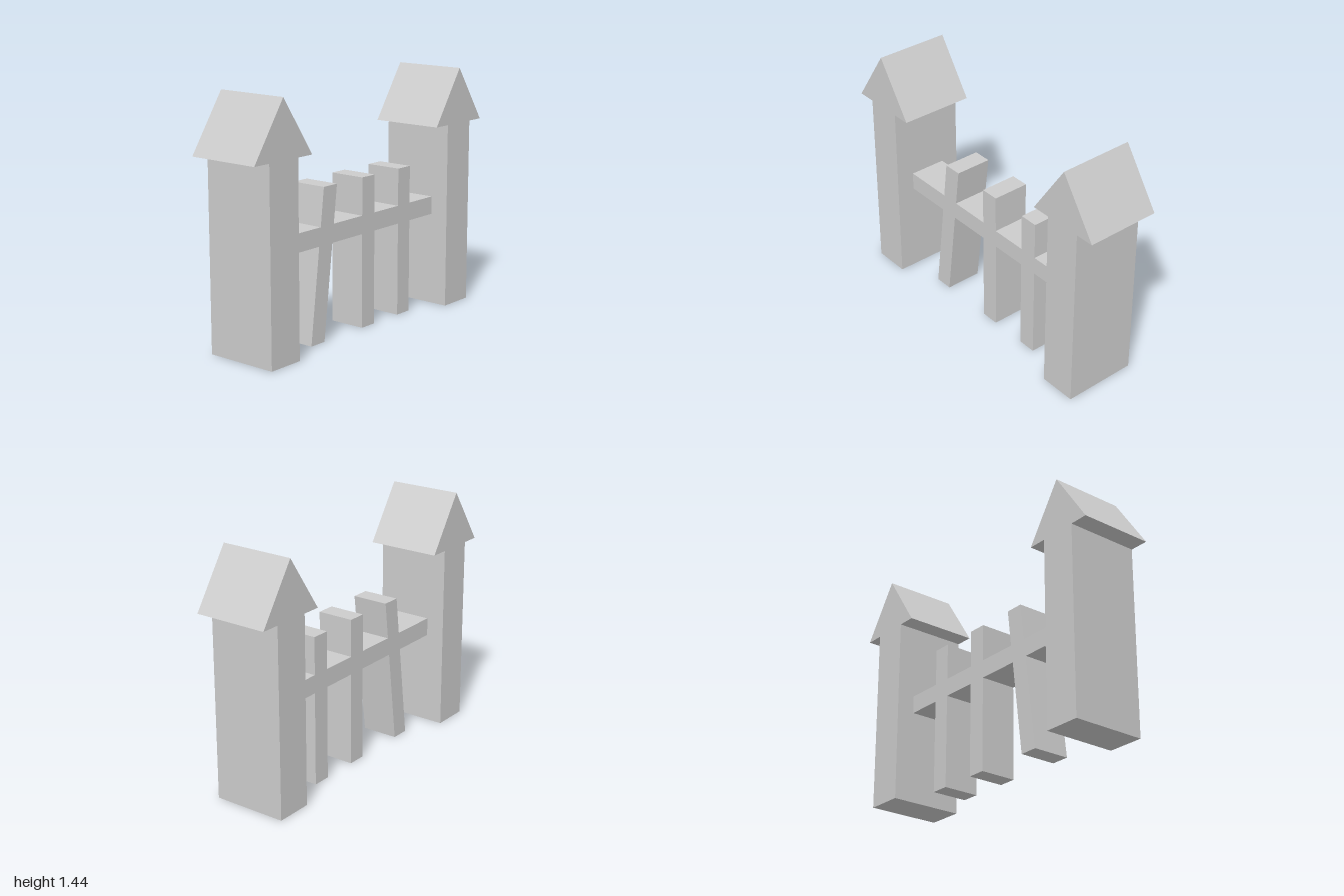
import * as THREE from 'three';

const U = 1 / 9; // design module
const material = new THREE.MeshStandardMaterial({ color: 0xcccccc, flatShading: true });

// Extrude a front outline (in modules) to a depth centred on z = 0
function slab(name, points, depth) {
  const shape = new THREE.Shape(points.map(([x, y]) => new THREE.Vector2(x * U, y * U)));
  const geometry = new THREE.ExtrudeGeometry(shape, { depth: depth * U, bevelEnabled: false });
  geometry.translate(0, 0, -depth * U / 2);
  const mesh = new THREE.Mesh(geometry, material);
  mesh.name = name;
  return mesh;
}

// One-module-wide picket; lean shifts its top sideways
const picket = (name, x, lean = 0) =>
  slab(name, [[x, 0], [x + 1, 0], [x + 1 + lean, 8], [x + lean, 8]], 2);

export function createModel() {
  const group = new THREE.Group();
  group.name = 'fence';

  // Thick end posts with overhanging gabled caps
  for (const [name, cx] of [['rightPost', -7], ['leftPost', 7]]) {
    const outline = [[-1, 0], [1, 0], [1, 10.03], [2, 10.03], [0, 13], [-2, 10.03], [-1, 10.03]];
    group.add(slab(name, outline.map(([x, y]) => [x + cx, y]), 4));
  }

  // Rail between the posts
  group.add(slab('rail', [[-6, 5.03], [6, 5.03], [6, 6], [-6, 6]], 2));

  // Pickets, one of them leaning
  group.add(picket('leaningPicket', -4, 1));
  group.add(picket('middlePicket', 0));
  group.add(picket('leftPicket', 3));

  return group;
}
